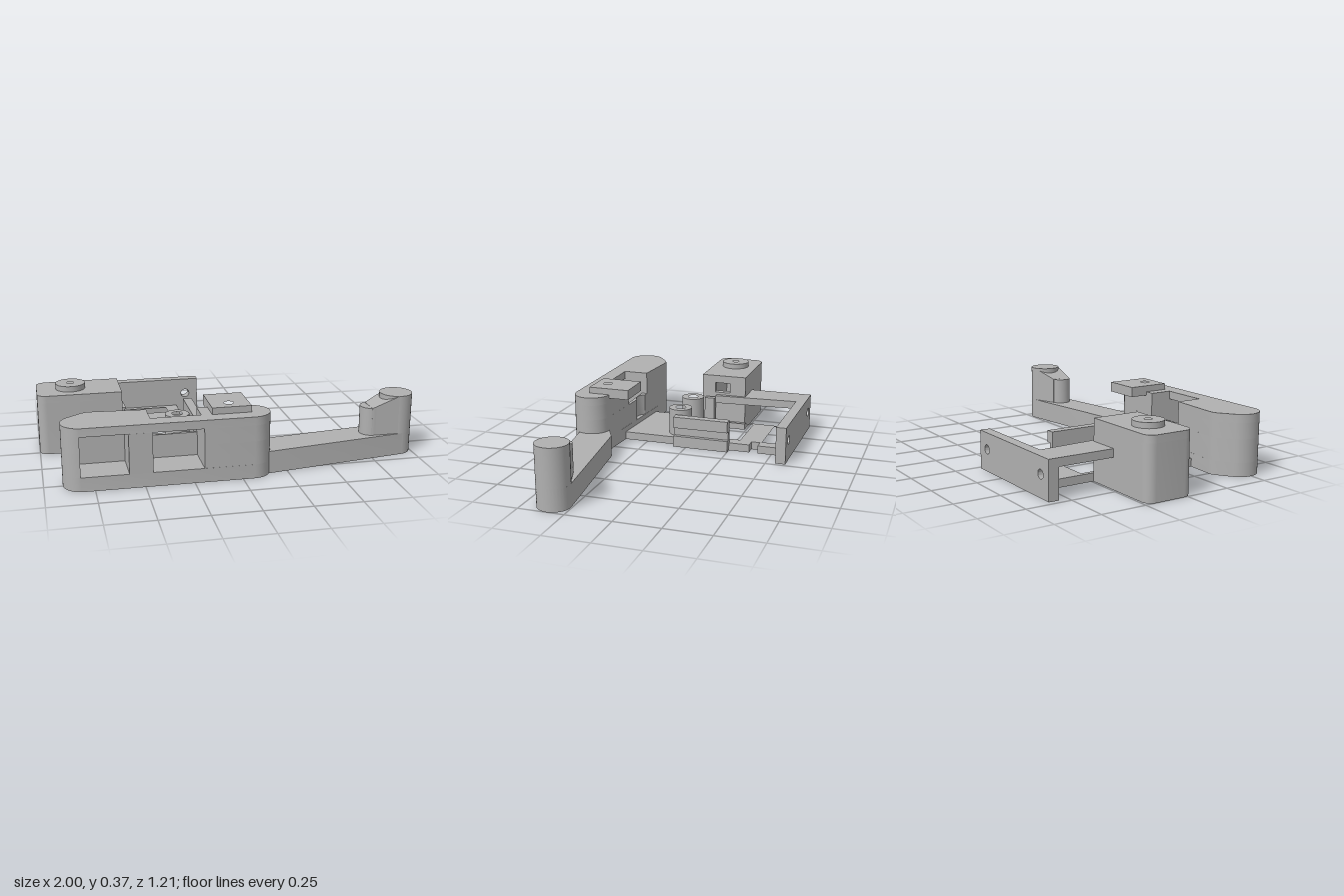
import * as THREE from 'three';
import { toCreasedNormals } from 'three/addons/utils/BufferGeometryUtils.js';

const grey = new THREE.MeshStandardMaterial({ color: 0xb0b0b0 });
grey.name = 'plain grey';

// Points [x, z] on an arc; angles in degrees, 90 points to +z
function arc(cx, cz, r, from, to, n = 16) {
  return Array.from({ length: n + 1 }, (_, i) => {
    const a = THREE.MathUtils.degToRad(from + (to - from) * i / n);
    return [cx + r * Math.cos(a), cz + r * Math.sin(a)];
  });
}
const rect = (x0, x1, z0, z1) => [[x0, z0], [x1, z0], [x1, z1], [x0, z1]];
const circle = (x, z, r) => arc(x, z, r, 0, 360, 32).slice(0, -1);

function extrude(points, holes, depth) {
  const toVec = (list) => list.map(([a, b]) => new THREE.Vector2(a, b));
  const shape = new THREE.Shape(toVec(points));
  shape.holes = holes.map((h) => new THREE.Path(toVec(h)));
  return new THREE.ExtrudeGeometry(shape, { depth, bevelEnabled: false });
}

export function createModel() {
  const model = new THREE.Group();

  function add(name, geometry) {
    const mesh = new THREE.Mesh(toCreasedNormals(geometry, 0.5), grey);
    mesh.name = name;
    model.add(mesh);
  }
  // Horizontal slab from a plan outline
  function slab(name, points, y0, y1, holes = []) {
    const flip = (list) => list.map(([x, z]) => [x, -z]);
    const g = extrude(flip(points), holes.map(flip), y1 - y0);
    g.rotateX(-Math.PI / 2).translate(0, y0, 0);
    add(name, g);
  }

  // Front body, stacked in layers so the windows cut right in
  const rightEnd = arc(0.06, 0.502, 0.1, -90, 90);
  const leftEnd = [...arc(-0.8, 0.495, 0.105, 101, 230), [-0.79, 0.357], [-0.765, 0.346], [-0.74, 0.345]];
  const pocket = [[-0.58, 0.6], [-0.58, 0.41], [-0.82, 0.41]];
  const groove = [[-0.43, 0.369], [-0.405, 0.39], [-0.37, 0.398], [-0.335, 0.39], [-0.31, 0.377]];
  const screw = circle(-0.045, 0.45, 0.025);
  slab('bodyFloor', [...rightEnd, ...leftEnd], 0, 0.075, [screw]);
  slab('bodyLower', [...rightEnd, [-0.2, 0.6], [-0.2, 0.4], [-0.46, 0.4], [-0.46, 0.6],
    ...pocket, ...leftEnd, ...groove], 0.075, 0.2, [screw]);
  slab('bodyUpperRight', [[-0.2, 0.385], ...rightEnd, [-0.2, 0.6]], 0.2, 0.285, [screw]);
  slab('bodyUpperLeft', [[-0.46, 0.6], ...pocket, ...leftEnd, [-0.46, 0.367]], 0.2, 0.285);
  slab('bodyTop', [...rightEnd, ...leftEnd, [-0.46, 0.367], [-0.46, 0.51], [-0.2, 0.51], [-0.2, 0.385]],
    0.285, 0.33, [screw]);
  slab('mountPad', rect(-0.145, 0.06, 0.285, 0.52), 0.31, 0.365, [screw]);

  // Side arm with its post and sloping prong
  slab('arm', [[0.06, 0.403], [0.155, 0.352], [0.9, 0.256], ...arc(0.912, 0.343, 0.088, -95, 80), [0.155, 0.55], [0.06, 0.56]], 0, 0.12);
  slab('armPost', circle(0.912, 0.343, 0.088), 0, 0.33);
  slab('prongTip', [...arc(0.762, 0.37, 0.06, 80, 255), [0.75, 0.429]], 0.1, 0.272);
  const slope = extrude([[0.75, -0.429], [0.9, -0.43], [0.9, -0.257], [0.75, -0.311]], [], 0.23);
  slope.rotateX(-Math.PI / 2).translate(0, 0.1, 0);
  const p = slope.attributes.position;
  for (let i = 0; i < p.count; i++) {
    if (p.getY(i) > 0.2) p.setY(i, p.getX(i) < 0.8 ? 0.272 : 0.33);
  }
  add('prongSlope', slope);

  // Base plate with two openings and a notch in its side
  const bossX = [-0.49, -0.25];
  slab('basePlate', [[-0.595, 0.42], [-0.595, 0.03], [-0.545, 0.03], [-0.545, -0.555], [-0.15, -0.555],
    [-0.15, -0.42], [-0.21, -0.42], [-0.21, -0.37], [-0.15, -0.37], [-0.15, 0.42]], 0, 0.045,
  [rect(-0.52, -0.22, -0.3, -0.06), rect(-0.52, -0.22, -0.52, -0.43), ...bossX.map((x) => circle(x, 0.075, 0.03))]);
  for (const x of bossX) slab('screwBoss', circle(x, 0.075, 0.067), 0.045, 0.2, [circle(x, 0.075, 0.03)]);
  slab('innerColumn', rect(-0.525, -0.49, -0.06, 0), 0, 0.2);

  // Side rail, grooved along its outer face
  slab('railLower', rect(-0.16, -0.11, -0.25, 0.075), 0, 0.065);
  slab('railGroove', rect(-0.16, -0.135, -0.25, 0.075), 0.065, 0.115);
  slab('railUpper', rect(-0.16, -0.11, -0.25, 0.075), 0.115, 0.18);

  // Rear wall with two screw holes, and the raised side plate
  const wall = extrude(rect(-0.72, -0.02, 0, 0.21), [circle(-0.645, 0.12, 0.025), circle(-0.095, 0.12, 0.025)], 0.057);
  add('rearWall', wall.translate(0, 0, -0.61));
  slab('sidePlate', [[-0.72, -0.56], [-0.545, -0.56], [-0.515, -0.06], [-0.545, -0.06], [-0.56, -0.23], [-0.72, -0.23]], 0.165, 0.21);

  // Hollow side box, open below, with a window in its inner face
  const boxOutline = [...arc(-0.95, -0.19, 0.05, 180, 270, 8), [-0.545, -0.24], [-0.545, 0.03], ...arc(-0.95, -0.02, 0.05, 90, 180, 8)];
  const hub = circle(-0.815, -0.105, 0.02);
  slab('boxTop', boxOutline, 0.29, 0.33, [hub]);
  slab('boxShell', [...boxOutline.slice(0, 9), [-0.545, -0.24], [-0.545, -0.2], [-0.95, -0.2], [-0.95, -0.01],
    [-0.545, -0.01], [-0.545, 0.03], ...boxOutline.slice(11)], 0, 0.29);
  const inner = extrude(rect(-0.03, 0.24, 0, 0.33), [rect(0.05, 0.145, 0.225, 0.285)], 0.04);
  add('boxInnerWall', inner.rotateY(Math.PI / 2).translate(-0.585, 0, 0));
  slab('boxDisc', circle(-0.815, -0.105, 0.081), 0.33, 0.36, [hub]);

  return model;
}
